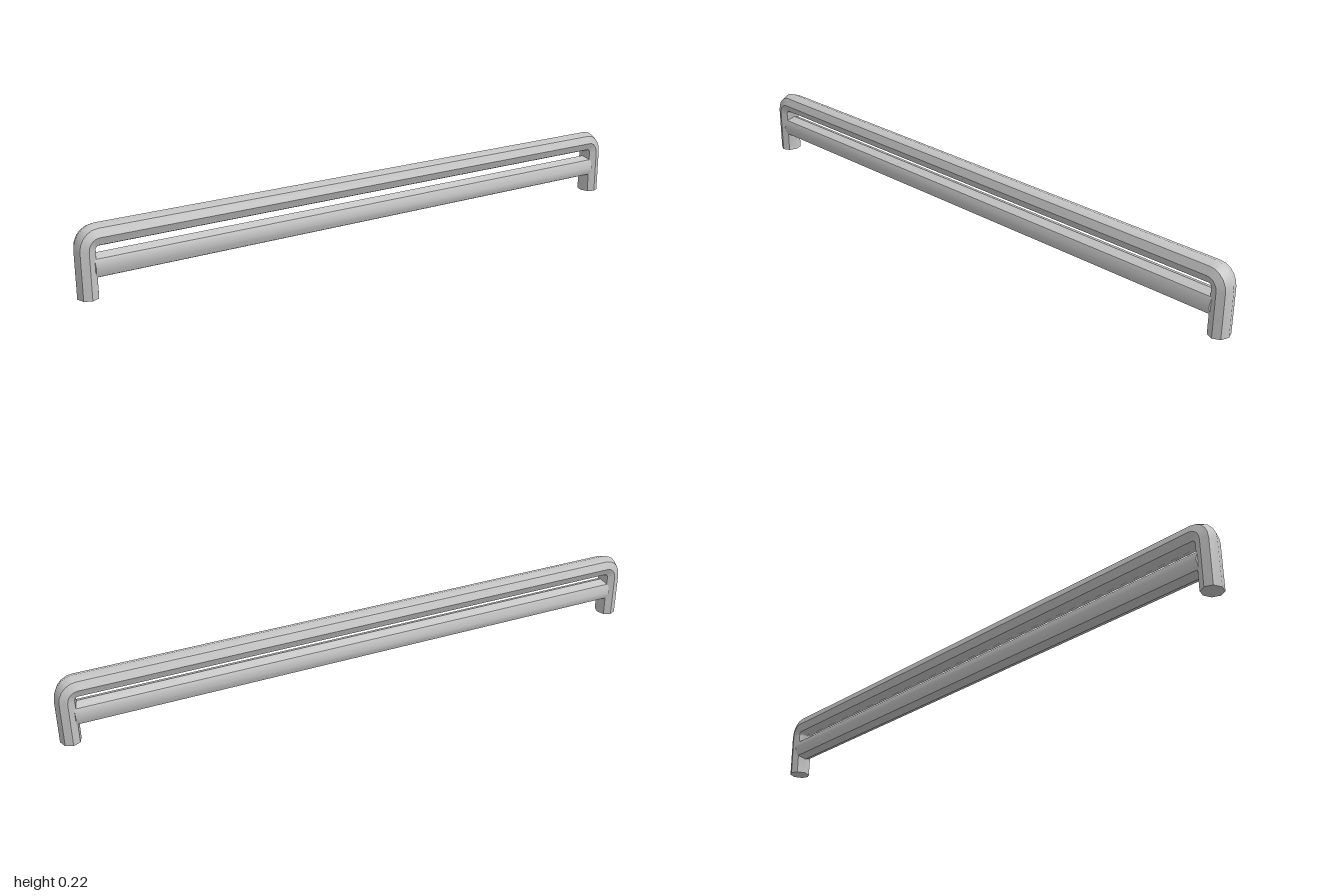
import * as THREE from 'three';
import { toCreasedNormals } from 'three/addons/utils/BufferGeometryUtils.js';

const SIDES = 8;
const BEND_STEPS = 5;
const CREASE = 0.778; // smooths only the shallowest long edges

// Sweep an eight-sided oval along an upside-down U: leg, bend, rail, bend, leg
function hoopGeometry() {
  const legR = 0.0325, railR = 0.0355, depthR = 0.037, inner = 0.002;
  const px = 1 - 2 * legR - inner, py = 0.22 - 2 * railR - inner; // bend pivot
  const rings = [];
  const addRing = (x, y, nx, ny) => rings.push({ x, y, nx, ny });

  addRing(px + inner + legR, 0, legR, 0);
  for (let side = 0; side < 2; side++) {
    for (let i = 0; i <= BEND_STEPS; i++) {
      const a = (side + i / BEND_STEPS) * Math.PI / 2;
      const c = Math.cos(a), s = Math.sin(a);
      const pivot = side === 0 ? px : -px;
      addRing(pivot + c * (inner + legR), py + s * (inner + railR), c * legR, s * railR);
    }
  }
  addRing(-(px + inner + legR), 0, -legR, 0);

  const pos = [], idx = [];
  for (const r of rings) {
    for (let j = 0; j < SIDES; j++) {
      const b = j / SIDES * Math.PI * 2;
      pos.push(r.x + r.nx * Math.cos(b), r.y + r.ny * Math.cos(b), depthR * Math.sin(b));
    }
  }
  for (let i = 0; i < rings.length - 1; i++) {
    for (let j = 0; j < SIDES; j++) {
      const k = (j + 1) % SIDES;
      const a = i * SIDES + j, b = i * SIDES + k, c = a + SIDES, d = b + SIDES;
      idx.push(a, c, b, b, c, d);
    }
  }
  // Flat feet, both facing down
  const last = (rings.length - 1) * SIDES;
  for (let j = 1; j < SIDES - 1; j++) {
    idx.push(0, j, j + 1, last, last + j + 1, last + j);
  }
  const geo = new THREE.BufferGeometry();
  geo.setAttribute('position', new THREE.Float32BufferAttribute(pos, 3));
  geo.setIndex(idx);
  return toCreasedNormals(geo, CREASE);
}

export function createModel() {
  const group = new THREE.Group();
  group.name = 'railing';
  const metal = new THREE.MeshStandardMaterial({ color: 0xc4c4c4 });
  metal.name = 'grey metal';

  // Bent hoop: both legs and the top rail
  const hoop = new THREE.Mesh(hoopGeometry(), metal);
  hoop.name = 'hoop';
  group.add(hoop);

  // Lower crossbar running between the legs
  const barGeo = new THREE.CylinderGeometry(1, 1, 1.9, SIDES);
  barGeo.scale(0.0385, 1, 0.038);
  barGeo.rotateZ(Math.PI / 2);
  const bar = new THREE.Mesh(toCreasedNormals(barGeo, CREASE), metal);
  bar.name = 'crossbar';
  bar.position.y = 0.0925;
  group.add(bar);

  return group;
}
